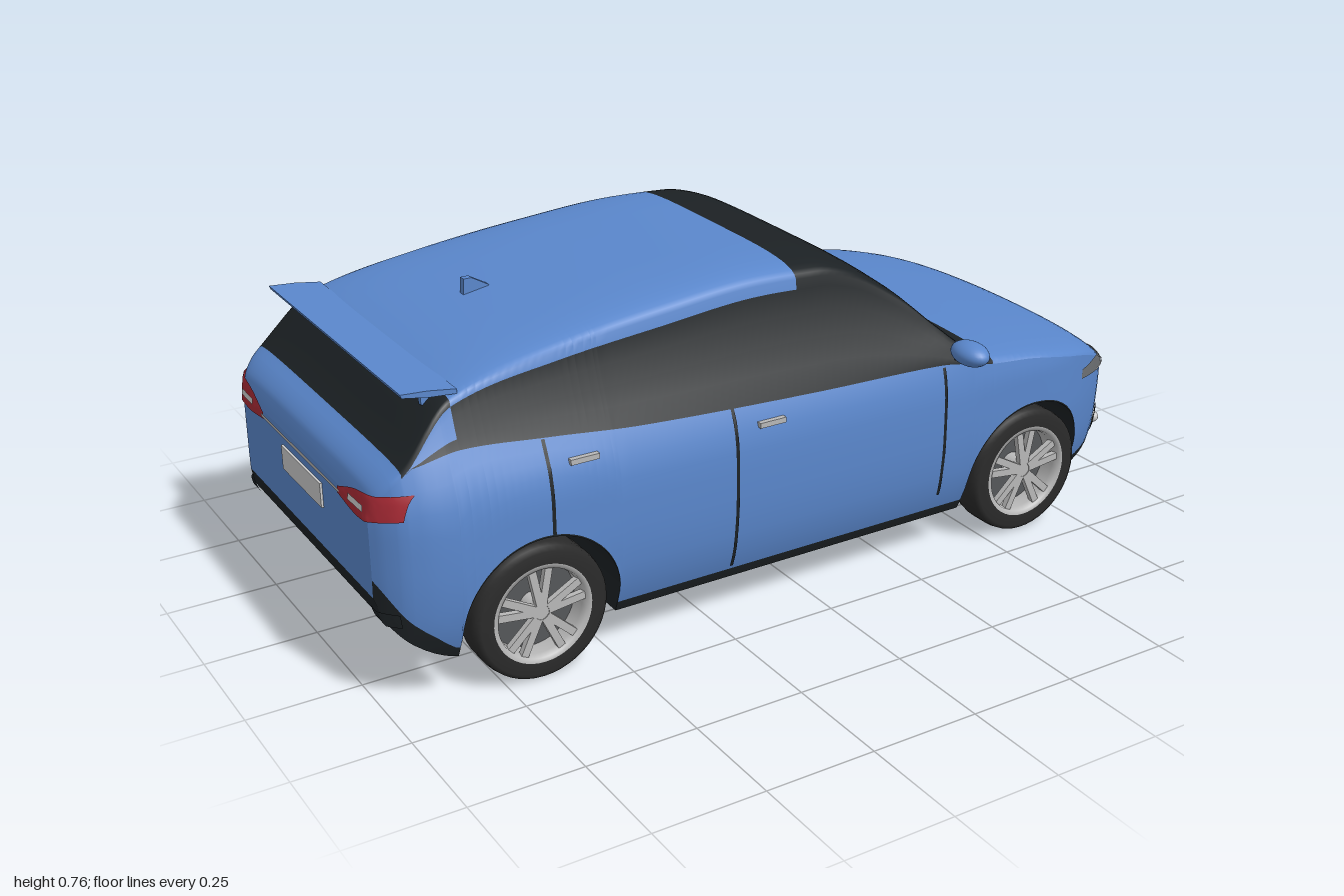
import * as THREE from 'three';
import { ParametricGeometry } from 'three/addons/geometries/ParametricGeometry.js';

const BLUE = 0x5a87cc, DARK = 0x1c2124, TYRE = 0x2a2a2a, STEEL = 0xb8b8b8, LAMP = 0x6c6f72, RED = 0xa82a35, WHITE = 0xdcdcd8;
const mat = (color, extra = {}) => new THREE.MeshStandardMaterial({ color, ...extra });

// Smooth monotone curve through [x, value] points
function curve(pts) {
  const n = pts.length;
  const s = pts.slice(1).map((p, i) => (p[1] - pts[i][1]) / (p[0] - pts[i][0]));
  const m = pts.map((p, i) => {
    if (i === 0) return s[0];
    if (i === n - 1) return s[n - 2];
    return s[i - 1] * s[i] <= 0 ? 0 : (2 * s[i - 1] * s[i]) / (s[i - 1] + s[i]);
  });
  return (x) => {
    if (x <= pts[0][0]) return pts[0][1];
    if (x >= pts[n - 1][0]) return pts[n - 1][1];
    let i = 0;
    while (x > pts[i + 1][0]) i++;
    const h = pts[i + 1][0] - pts[i][0], t = (x - pts[i][0]) / h, t2 = t * t, t3 = t2 * t;
    return (2 * t3 - 3 * t2 + 1) * pts[i][1] + (t3 - 2 * t2 + t) * h * m[i]
      + (3 * t2 - 2 * t3) * pts[i + 1][1] + (t3 - t2) * h * m[i + 1];
  };
}

// Body lines along the length: top, bottom, window sill, roof rounding, plan taper
const X0 = -1, X1 = 0.992;
const top = curve([[-1, 0.44], [-0.99, 0.485], [-0.93, 0.54], [-0.82, 0.65], [-0.58, 0.71], [-0.31, 0.745], [-0.1, 0.759],
  [0.06, 0.752], [0.14, 0.73], [0.25, 0.66], [0.355, 0.565], [0.43, 0.505], [0.48, 0.484], [0.6, 0.475], [0.73, 0.452],
  [0.81, 0.43], [0.89, 0.39], [0.945, 0.335], [0.98, 0.295], [0.992, 0.265]]);
const base = curve([[-1, 0.25], [-0.985, 0.2], [-0.92, 0.135], [-0.85, 0.1], [-0.8, 0.094], [0.76, 0.094], [0.865, 0.105], [0.96, 0.13], [0.985, 0.16], [0.992, 0.19]]);
const trimLine = curve([[-1, 0.29], [-0.95, 0.21], [-0.9, 0.165], [-0.85, 0.125], [-0.8, 0.12], [0.76, 0.12], [0.9, 0.13], [0.97, 0.15], [0.992, 0.2]]);
const sill = curve([[-0.93, 0.525], [-0.82, 0.545], [-0.63, 0.53], [-0.42, 0.51], [0, 0.49], [0.33, 0.48], [0.48, 0.456]]);
const round = curve([[-1, 0.03], [-0.93, 0.02], [-0.82, 0.025], [-0.58, 0.045], [-0.3, 0.057], [0, 0.057], [0.15, 0.05], [0.35, 0.03], [0.48, 0.028], [0.9, 0.04], [0.992, 0.03]]);
const power = curve([[0.3, 4], [0.58, 2.2]]);
const taper = curve([[-1, 0.79], [-0.985, 0.85], [-0.95, 0.93], [-0.9, 0.98], [-0.84, 1], [0.62, 1], [0.7, 0.975], [0.78, 0.915], [0.85, 0.835],
  [0.91, 0.735], [0.95, 0.635], [0.975, 0.52], [0.992, 0.38]]);
// Half width by height
const flank = curve([[0.09, 0.4], [0.15, 0.425], [0.2, 0.436], [0.3, 0.444], [0.4, 0.443], [0.46, 0.434], [0.5, 0.418], [0.56, 0.39], [0.64, 0.36], [0.735, 0.333]]);

const AXLES = [-0.668, 0.605], AXLE_Y = 0.153, ARCH = 0.179;
function bottom(x) {
  for (const c of AXLES) {
    const d = Math.abs(x - c);
    if (d <= ARCH + 1e-6) return AXLE_Y + Math.sqrt(Math.max(0, ARCH * ARCH - d * d));
  }
  return base(x);
}
const shoulder = (x) => top(x) - round(x);
function halfWidth(x, y) {
  const s = shoulder(x);
  if (y <= s) return flank(y) * taper(x);
  const k = (y - s) / round(x), n = power(x);
  return k >= 1 ? 0 : flank(s) * taper(x) * Math.pow(1 - Math.pow(k, n), 1 / n);
}

// Half section from bottom edge to roof centre, as [z, y]
const SIDE = 9, WIN = 13, TOP = 23;
function section(x) {
  const b = bottom(x), t = Math.max(b + 0.004, trimLine(x)), s = shoulder(x), w = Math.min(sill(x), s), n = power(x);
  const pts = [[halfWidth(x, b), b]];
  for (let j = 1; j <= WIN; j++) {
    const y = j <= SIDE ? t + ((w - t) * (j - 1)) / (SIDE - 1) : w + ((s - w) * (j - SIDE)) / (WIN - SIDE);
    pts.push([halfWidth(x, y), y]);
  }
  for (let j = WIN + 1; j <= TOP; j++) {
    const a = ((j - WIN) / (TOP - WIN)) * Math.PI / 2;
    pts.push([j === TOP ? 0 : flank(s) * taper(x) * Math.cos(a) ** (2 / n), s + round(x) * Math.sin(a) ** (2 / n)]);
  }
  return pts;
}

function panelName(x, j) {
  if (j < 1) return 'lowerTrim';
  if (j < SIDE) return 'sidePanels';
  if (j < WIN) return x > 0.48 || x < -0.94 || (x < -0.82 && j > SIDE) ? 'sidePanels' : 'sideWindows';
  if (x < -0.94) return 'tailgate';
  if (x < -0.82) return 'rearWindow';
  if (x < 0) return 'roof';
  return x < 0.48 ? 'windscreen' : 'hood';
}

function buildBody(g) {
  let xs = [X0, X1];
  for (let i = -49; i < 50; i++) xs.push(i / 50);
  for (let i = 0; i < 10; i++) xs.push(0.93 + i * 0.0065, -0.998 + i * 0.006);
  for (const c of AXLES) {
    for (let i = 0; i <= 28; i++) xs.push(c - ARCH * Math.cos((i / 28) * Math.PI));
    xs.push(c - ARCH - 0.002, c + ARCH + 0.002);
  }
  xs = xs.sort((a, b) => a - b).filter((x, i, all) => i === 0 || x - all[i - 1] > 1e-4);
  const pos = [], under = [], parts = {}, M = 2 * TOP + 1;
  xs.forEach((x) => {
    const h = section(x);
    for (let j = 0; j < M; j++) {
      const p = h[Math.min(j, M - 1 - j)];
      pos.push(x, p[1], j < TOP ? -p[0] : p[0]);
    }
  });
  const all = [];
  for (let i = 0; i < xs.length - 1; i++) {
    for (let j = 0; j < M - 1; j++) {
      const a = i * M + j, b = a + 1, c = a + M, d = c + 1;
      const name = panelName((xs[i] + xs[i + 1]) / 2, Math.min(j, M - 2 - j));
      (parts[name] ??= []).push(a, b, c, b, d, c);
      all.push(a, b, c, b, d, c);
    }
    const l = i * M, r = l + M - 1;
    under.push(l, l + M, r, r, l + M, r + M);
  }
  const shell = new THREE.BufferGeometry();
  shell.setAttribute('position', new THREE.Float32BufferAttribute(pos, 3));
  shell.setIndex(all);
  shell.computeVertexNormals();
  const dark = ['lowerTrim', 'sideWindows', 'rearWindow', 'windscreen'];
  for (const name in parts) {
    const geo = shell.clone().setIndex(parts[name]);
    add(g, name, geo, mat(dark.includes(name) ? DARK : BLUE));
  }
  // Floor, wheel tunnels and the two end faces
  const flat = (index) => {
    const f = shell.clone().setIndex(index).toNonIndexed();
    f.computeVertexNormals();
    return f;
  };
  add(g, 'floor', flat(under), mat(DARK, { side: THREE.DoubleSide }));
  [0, (xs.length - 1) * M].forEach((o, end) => {
    const cap = [];
    for (let j = 0; j < TOP; j++) cap.push(o + j, o + j + 1, o + M - 1 - j, o + j + 1, o + M - 2 - j, o + M - 1 - j);
    add(g, end ? 'noseFace' : 'tailFace', flat(cap), mat(BLUE, { side: THREE.DoubleSide }));
  });
}

function add(parent, name, geo, material, x = 0, y = 0, z = 0) {
  const m = new THREE.Mesh(geo, material);
  m.name = name;
  m.position.set(x, y, z);
  parent.add(m);
  return m;
}

// Furthest point of the body along x (dir 1 nose, -1 tail) at a given height and z
function endX(dir, y, z) {
  let a = dir > 0 ? 0.55 : -0.6, b = dir > 0 ? X1 : X0;
  const inside = (x) => y >= base(x) && Math.abs(z) <= halfWidth(x, y);
  if (inside(b)) return b;
  for (let i = 0; i < 24; i++) {
    const m = (a + b) / 2;
    if (inside(m)) a = m; else b = m;
  }
  return a;
}

// Thin panel lying on the nose or tail, between lower and upper edge curves over z
function endPanel(g, name, color, dir, z0, z1, lo, hi, lift = 0.005) {
  const l = typeof lo === 'number' ? () => lo : curve(lo), h = typeof hi === 'number' ? () => hi : curve(hi);
  add(g, name, new ParametricGeometry((u, v, p) => {
    const z = z0 + (z1 - z0) * u, y = l(Math.abs(z)) + (h(Math.abs(z)) - l(Math.abs(z))) * v;
    p.set(endX(dir, y, z) + dir * lift, y, z);
  }, 28, 6), mat(color, { side: THREE.DoubleSide }));
}

function buildWheel() {
  const w = new THREE.Group();
  w.name = 'wheel';
  const ring = (pts) => new THREE.LatheGeometry(pts.map((p) => new THREE.Vector2(...p)), 48).rotateX(Math.PI / 2);
  const both = { side: THREE.DoubleSide };
  add(w, 'tyre', ring([[0.108, -0.046], [0.14, -0.048], [0.15, -0.04], [0.153, -0.025], [0.153, 0.025], [0.15, 0.04], [0.14, 0.048], [0.108, 0.046]]), mat(TYRE, both));
  add(w, 'rim', ring([[0.1, -0.044], [0.112, -0.047], [0.1, -0.03], [0.098, 0.03], [0.102, 0.046], [0.112, 0.048]]), mat(STEEL, both));
  add(w, 'brakeDisc', new THREE.CylinderGeometry(0.1, 0.1, 0.01, 40).rotateX(Math.PI / 2), mat(0x55575a), 0, 0, -0.012);
  add(w, 'hub', new THREE.CylinderGeometry(0.022, 0.028, 0.05, 24).rotateX(Math.PI / 2), mat(STEEL), 0, 0, 0.014);
  for (let i = 0; i < 10; i++) {
    const a = Math.floor(i / 2) * Math.PI * 0.4 + Math.PI / 2 + (i % 2 ? 0.19 : -0.19);
    const s = add(w, 'spoke', new THREE.BoxGeometry(0.088, 0.017, 0.014), mat(STEEL), Math.cos(a) * 0.06, Math.sin(a) * 0.06, 0.034);
    s.rotation.z = a;
  }
  return w;
}

export function createModel() {
  const g = new THREE.Group();
  g.name = 'car';
  buildBody(g);

  // Grille, bumper openings and plates
  endPanel(g, 'grille', DARK, 1, -0.19, 0.19, [[0.15, 0.232], [0.165, 0.238], [0.19, 0.29]], [[0, 0.303], [0.19, 0.3]]);
  endPanel(g, 'grilleTopBar', STEEL, 1, -0.215, 0.215, 0.302, 0.308, 0.008);
  endPanel(g, 'grilleMiddleBar', STEEL, 1, -0.15, 0.15, 0.276, 0.281, 0.008);
  for (const y of [0.243, 0.259]) endPanel(g, 'grilleSlat', 0x34383b, 1, -0.16, 0.16, y, y + 0.004, 0.008);
  endPanel(g, 'lowerIntake', DARK, 1, -0.26, 0.26, [[0.18, 0.135], [0.26, 0.16]], [[0.2, 0.185], [0.26, 0.172]]);
  add(g, 'frontPlate', new THREE.BoxGeometry(0.01, 0.056, 0.26), mat(WHITE), 0.995, 0.203, 0);
  add(g, 'rearPlate', new THREE.BoxGeometry(0.01, 0.055, 0.22), mat(WHITE), -1.0, 0.375, 0);
  endPanel(g, 'tailStrip', STEEL, -1, -0.22, 0.22, 0.428, 0.436, 0.006);

  for (const s of [1, -1]) {
    // Lamps
    endPanel(g, 'headlamp', LAMP, 1, 0.18 * s, 0.408 * s, [[0.18, 0.332], [0.24, 0.322], [0.33, 0.325], [0.408, 0.342]], [[0.18, 0.338], [0.26, 0.356], [0.36, 0.374], [0.408, 0.366]]);
    endPanel(g, 'headlampStrip', WHITE, 1, 0.22 * s, 0.37 * s, [[0.22, 0.326], [0.37, 0.333]], [[0.22, 0.331], [0.37, 0.339]], 0.009);
    endPanel(g, 'fogLampRecess', DARK, 1, 0.28 * s, 0.342 * s, [[0.28, 0.155], [0.342, 0.16]], 0.196);
    const fx = endX(1, 0.176, 0.31) + 0.006;
    add(g, 'fogLamp', new THREE.SphereGeometry(0.014, 16, 12), mat(WHITE), fx - 0.006, 0.176, 0.31 * s);
    endPanel(g, 'tailLamp', RED, -1, 0.21 * s, 0.412 * s, [[0.21, 0.425], [0.3, 0.415], [0.412, 0.43]], [[0.21, 0.44], [0.3, 0.468], [0.412, 0.482]]);
    endPanel(g, 'tailLampLens', WHITE, -1, 0.27 * s, 0.34 * s, 0.437, 0.45, 0.008);
    endPanel(g, 'rearReflector', DARK, -1, 0.33 * s, 0.4 * s, 0.195, 0.225);

    // Door gaps and handles
    for (const [x, y0, y1] of [[-0.645, 0.335, 0.53], [-0.21, 0.13, 0.5], [0.342, 0.16, 0.475]]) {
      add(g, 'doorGap', new ParametricGeometry((u, v, p) => {
        const y = y0 + (y1 - y0) * v, px = x + (u - 0.5) * 0.008;
        p.set(px, y, s * (halfWidth(px, y) + 0.002));
      }, 1, 14), mat(DARK, { side: THREE.DoubleSide }));
    }
    for (const [x, y] of [[-0.567, 0.479], [-0.122, 0.456]]) {
      add(g, 'doorHandle', new THREE.BoxGeometry(0.065, 0.012, 0.012), mat(STEEL), x, y, s * (halfWidth(x, y) + 0.004));
    }

    // Mirrors
    add(g, 'mirrorArm', new THREE.BoxGeometry(0.02, 0.014, 0.07), mat(DARK), 0.385, 0.492, 0.43 * s);
    add(g, 'mirrorHousing', new THREE.SphereGeometry(1, 28, 18).scale(0.036, 0.027, 0.053), mat(BLUE), 0.382, 0.514, 0.469 * s);

    // Wheels
    for (const x of AXLES) {
      const w = buildWheel();
      w.position.set(x, AXLE_Y, 0.381 * s);
      if (s < 0) w.rotation.y = Math.PI;
      g.add(w);
    }
    add(g, 'spoilerMount', new THREE.BoxGeometry(0.05, 0.035, 0.012), mat(BLUE), -0.835, 0.637, 0.31 * s);
  }

  // Roof spoiler, tapered in side profile
  const wing = new THREE.Shape([[-0.915, 0.66], [-0.918, 0.668], [-0.86, 0.664], [-0.8, 0.655], [-0.8, 0.645], [-0.86, 0.65]].map((p) => new THREE.Vector2(...p)));
  add(g, 'spoiler', new THREE.ExtrudeGeometry(wing, { depth: 0.71, bevelEnabled: false }), mat(BLUE), 0, 0, -0.355);

  // Roof aerial fin
  const fin = new THREE.Shape([[-0.62, 0.7], [-0.618, 0.738], [-0.6, 0.738], [-0.56, 0.715], [-0.56, 0.7]].map((p) => new THREE.Vector2(...p)));
  add(g, 'aerialFin', new THREE.ExtrudeGeometry(fin, { depth: 0.016, bevelEnabled: false }), mat(BLUE), 0, 0, -0.008);
  return g;
}
